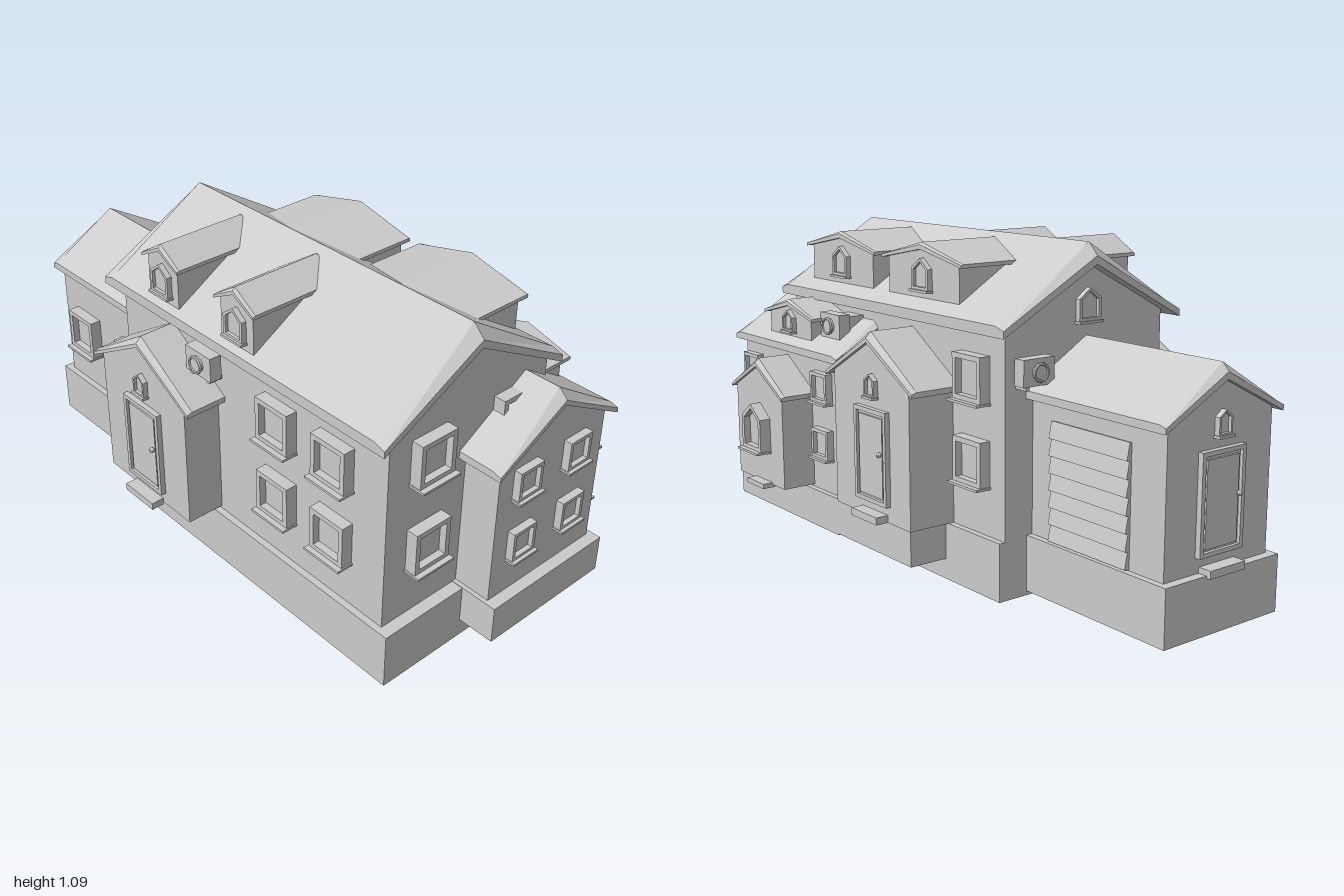
import * as THREE from 'three';

const mat = new THREE.MeshStandardMaterial({ color: 0xcccccc, flatShading: true });
const FRONT = 0, LEFT = Math.PI / 2, BACK = Math.PI, RIGHT = -Math.PI / 2; // LEFT faces +x

function mesh(geo, name, x = 0, y = 0, z = 0) {
  const m = new THREE.Mesh(geo, mat);
  m.name = name;
  m.position.set(x, y, z);
  return m;
}

function group(name, ...parts) {
  const g = new THREE.Group();
  g.name = name;
  g.add(...parts);
  return g;
}

// Box given by its limits on each axis
function slab(name, x0, x1, y0, y1, z0, z1) {
  return mesh(new THREE.BoxGeometry(x1 - x0, y1 - y0, z1 - z0), name, (x0 + x1) / 2, (y0 + y1) / 2, (z0 + z1) / 2);
}

const extrude = (shape, depth) => new THREE.ExtrudeGeometry(shape, { depth, bevelEnabled: false });

// Gable roof: thicker at the ridge, with its top edge bevelled at the open ends
function roofGeometry(hw, low, eave, ridge, z0, z1, bevel) {
  const under = ridge - (eave - low) * 1.9;
  const profile = d => [[-hw, low], [0, under], [hw, low], [hw, eave - d * 0.3], [0, ridge - d], [-hw, eave - d * 0.3]];
  const rings = [[z0, bevel], [z0 + bevel, 0], [z1 - bevel, 0], [z1, bevel]];
  const pos = [], idx = [];
  for (const [z, d] of rings) for (const [x, y] of profile(d)) pos.push(x, y, z);
  for (let i = 0; i < 3; i++) for (let j = 0; j < 6; j++) {
    const a = i * 6 + j, b = i * 6 + (j + 1) % 6;
    idx.push(a, b, b + 6, a, b + 6, a + 6);
  }
  for (const [a, b, c] of [[0, 1, 4], [0, 4, 5], [1, 2, 3], [1, 3, 4]]) {
    idx.push(a + 18, b + 18, c + 18, c, b, a);
  }
  const geo = new THREE.BufferGeometry();
  geo.setAttribute('position', new THREE.Float32BufferAttribute(pos, 3));
  geo.setIndex(idx);
  const flat = geo.toNonIndexed();
  flat.computeVertexNormals();
  return flat;
}

// Gabled block: its facade lies at z = 0 and faces +z, the body runs back by depth
function gable(name, o) {
  const under = o.ridge - (o.eave - o.low) * 1.9 + 0.005;
  const wallTop = under - (under - o.low) * o.wall / o.roof;
  const s = new THREE.Shape([[-o.wall, o.base], [o.wall, o.base], [o.wall, wallTop], [0, under], [-o.wall, wallTop]]
    .map(p => new THREE.Vector2(...p)));
  const walls = mesh(extrude(s, o.depth), name + 'Walls', 0, 0, -o.depth);
  const back = -o.depth - (o.backOver || 0);
  return group(name, walls, mesh(roofGeometry(o.roof, o.low, o.eave, o.ridge, back, o.over, o.bevel), name + 'Roof'));
}

// Outline standing on y = 0, rectangular or with a pointed head
function outline(w, h, pointed, inset = 0) {
  const kx = (w - 2 * inset) / w, ky = (h - 2 * inset) / h;
  const pts = pointed ? [[-w / 2, 0], [w / 2, 0], [w / 2, h - w * 0.37], [0, h], [-w / 2, h - w * 0.37]]
    : [[-w / 2, 0], [w / 2, 0], [w / 2, h], [-w / 2, h]];
  return pts.map(([x, y]) => new THREE.Vector2(x * kx, inset + y * ky));
}

// Raised frame around a recessed panel
function framed(name, w, h, depth, border, pointed) {
  const s = new THREE.Shape(outline(w, h, pointed));
  s.holes.push(new THREE.Path(outline(w, h, pointed, border)));
  return group(name, mesh(extrude(s, depth), 'frame'),
    mesh(extrude(new THREE.Shape(outline(w, h, pointed, border * 0.8)), depth * 0.4), 'panel'));
}

function windowUnit(w, h, depth, pointed = false) {
  const g = framed('window', w, h, depth, w * 0.12, pointed);
  g.add(slab('sill', -w / 2 - 0.004, w / 2 + 0.004, -0.006, 0.002, 0, depth * 1.45));
  return g;
}

function doorUnit() {
  const g = framed('door', 0.18, 0.31, 0.018, 0.014);
  g.add(slab('doorLeaf', -0.066, 0.066, 0.022, 0.285, 0, 0.014));
  g.add(mesh(new THREE.SphereGeometry(0.009, 10, 8), 'knob', 0.062, 0.17, 0.024));
  g.add(slab('step', -0.073, 0.073, -0.055, -0.03, 0, 0.045));
  return g;
}

// Wall cooling unit with a round fan and two brackets
function coolingUnit() {
  const fan = mesh(new THREE.CylinderGeometry(0.026, 0.026, 0.014, 16), 'fan', 0, 0, 0.06);
  fan.rotation.x = Math.PI / 2;
  const hub = mesh(new THREE.TorusGeometry(0.026, 0.005, 6, 16), 'fanRing', 0, 0, 0.066);
  const g = group('coolingUnit', slab('case', -0.06, 0.06, -0.042, 0.042, 0.012, 0.055), fan, hub);
  for (const s of [-1, 1]) g.add(slab('bracket', s * 0.04 - 0.007, s * 0.04 + 0.007, -0.054, -0.04, 0, 0.05));
  return g;
}

export function createModel() {
  const house = new THREE.Group();
  house.name = 'house';
  const place = (obj, x, y, z, face) => {
    obj.position.set(x, y, z);
    obj.rotation.y = face;
    house.add(obj);
  };
  const attic = (x, y, z, face, w = 0.055, h = 0.075) => place(windowUnit(w, h, 0.018, true), x, y, z, face);

  // Foundations
  house.add(slab('mainFoundation', -0.42, 0.272, 0, 0.19, -0.39, 0.872),
    slab('wingFoundation', -0.095, 0.41, 0.063, 0.192, 0.315, 1),
    slab('porchFoundation', 0.1, 0.41, 0.068, 0.19, -0.115, 0.33),
    slab('rearFoundation', -0.31, 0.164, 0.015, 0.197, -0.985, -0.3));

  // Main house, front wing and rear wing
  place(gable('mainHouse', { wall: 0.324, roof: 0.367, base: 0.18, low: 0.83, eave: 0.865, ridge: 1.09,
    depth: 1.22, over: 0.023, backOver: 0.045, bevel: 0.04 }), -0.073, 0, 0.83, FRONT);
  place(gable('frontWing', { wall: 0.235, roof: 0.265, base: 0.185, low: 0.66, eave: 0.685, ridge: 0.85,
    depth: 0.645, over: 0.025, backOver: 0.025, bevel: 0.03 }), 0.155, 0, 0.96, FRONT);
  place(gable('rearWing', { wall: 0.215, roof: 0.243, base: 0.19, low: 0.63, eave: 0.655, ridge: 0.8,
    depth: 0.6, over: 0.02, bevel: 0.025 }), -0.073, 0, -0.955, BACK);

  // Side porches and the small bay
  const porch = { wall: 0.215, roof: 0.249, base: 0.19, low: 0.625, eave: 0.643, ridge: 0.8, depth: 0.2, over: 0.014, bevel: 0.02 };
  place(gable('leftPorch', porch), 0.42, 0, 0.085, LEFT);
  place(gable('rightPorch', { ...porch, base: 0.2 }), -0.53, 0, -0.127, RIGHT);
  place(gable('bay', { wall: 0.16, roof: 0.177, base: 0.2, low: 0.515, eave: 0.53, ridge: 0.64,
    depth: 0.2, over: 0.012, bevel: 0.015 }), 0.51, 0, 0.66, LEFT);
  house.add(slab('bayStep', 0.5, 0.547, 0.19, 0.207, 0.585, 0.7));
  place(windowUnit(0.13, 0.165, 0.04, true), 0.51, 0.318, 0.653, LEFT);

  // Dormers
  for (const z of [0.517, 0.037]) {
    place(gable('wideDormer', { wall: 0.192, roof: 0.217, base: 0.885, low: 1.01, eave: 1.022, ridge: 1.075,
      depth: 0.3, over: 0.012, bevel: 0.008 }), 0.243, 0, z, LEFT);
    attic(0.243, 0.922, z - 0.005, LEFT, 0.09, 0.103);
  }
  for (const z of [0.217, -0.14]) {
    place(gable('narrowDormer', { wall: 0.074, roof: 0.09, base: 0.86, low: 1.008, eave: 1.02, ridge: 1.077,
      depth: 0.32, over: 0.014, bevel: 0.01 }), -0.417, 0, z, RIGHT);
    attic(-0.417, 0.908, z, RIGHT, 0.085, 0.103);
  }
  place(gable('wingDormer', { wall: 0.14, roof: 0.165, base: 0.69, low: 0.775, eave: 0.787, ridge: 0.838,
    depth: 0.2, over: 0.012, bevel: 0.008 }), 0.383, 0, 0.645, LEFT);
  attic(0.383, 0.726, 0.64, LEFT, 0.068, 0.075);

  // Doors with the small windows above them
  for (const [x, z, face] of [[0.42, 0.069, LEFT], [-0.53, -0.127, RIGHT], [-0.073, -0.955, BACK]]) {
    place(doorUnit(), x, 0.245, z, face);
    attic(x, 0.592, z, face);
  }
  attic(-0.073, 0.845, -0.39, BACK, 0.09, 0.105);

  // Large windows of the main house and rear wing
  const big = (x, y, z, face) => place(windowUnit(0.14, 0.147, 0.04), x, y, z, face);
  for (const y of [0.36, 0.668]) big(-0.24, y, 0.83, FRONT);
  big(0.094, 0.668, 0.83, FRONT);
  for (const y of [0.348, 0.612]) {
    big(0.25, y, -0.247, LEFT);
    for (const z of [0.385, 0.628]) big(-0.397, y, z, RIGHT);
  }
  for (const z of [-0.81, -0.525]) big(-0.288, 0.348, z, RIGHT);

  // Smaller windows of the front wing
  for (const y of [0.32, 0.542]) for (const x of [0.033, 0.255]) {
    place(windowUnit(0.1, 0.103, 0.026), x, y, 0.96, FRONT);
  }
  for (const y of [0.313, 0.51]) for (const z of [0.89, 0.418]) {
    place(windowUnit(0.103, 0.103, 0.026), 0.39, y, z, LEFT);
  }

  // Slatted garage door
  const garage = new THREE.Group();
  garage.name = 'garageDoor';
  for (let i = 0; i < 7; i++) {
    const slat = slab('slat', -0.167, 0.167, -0.027, 0.027, -0.01, 0.01);
    slat.position.y = 0.027 + i * 0.0535;
    slat.rotation.x = -0.2;
    garage.add(slat);
  }
  place(garage, 0.145, 0.2, -0.652, LEFT);

  // Cooling units
  place(coolingUnit(), 0.3, 0.767, 0.428, LEFT);
  house.add(slab('coolingUnitMount', 0.24, 0.32, 0.735, 0.8, 0.38, 0.475));
  place(coolingUnit(), -0.397, 0.76, 0.065, RIGHT);
  place(coolingUnit(), 0.165, 0.72, -0.39, BACK);

  return house;
}
